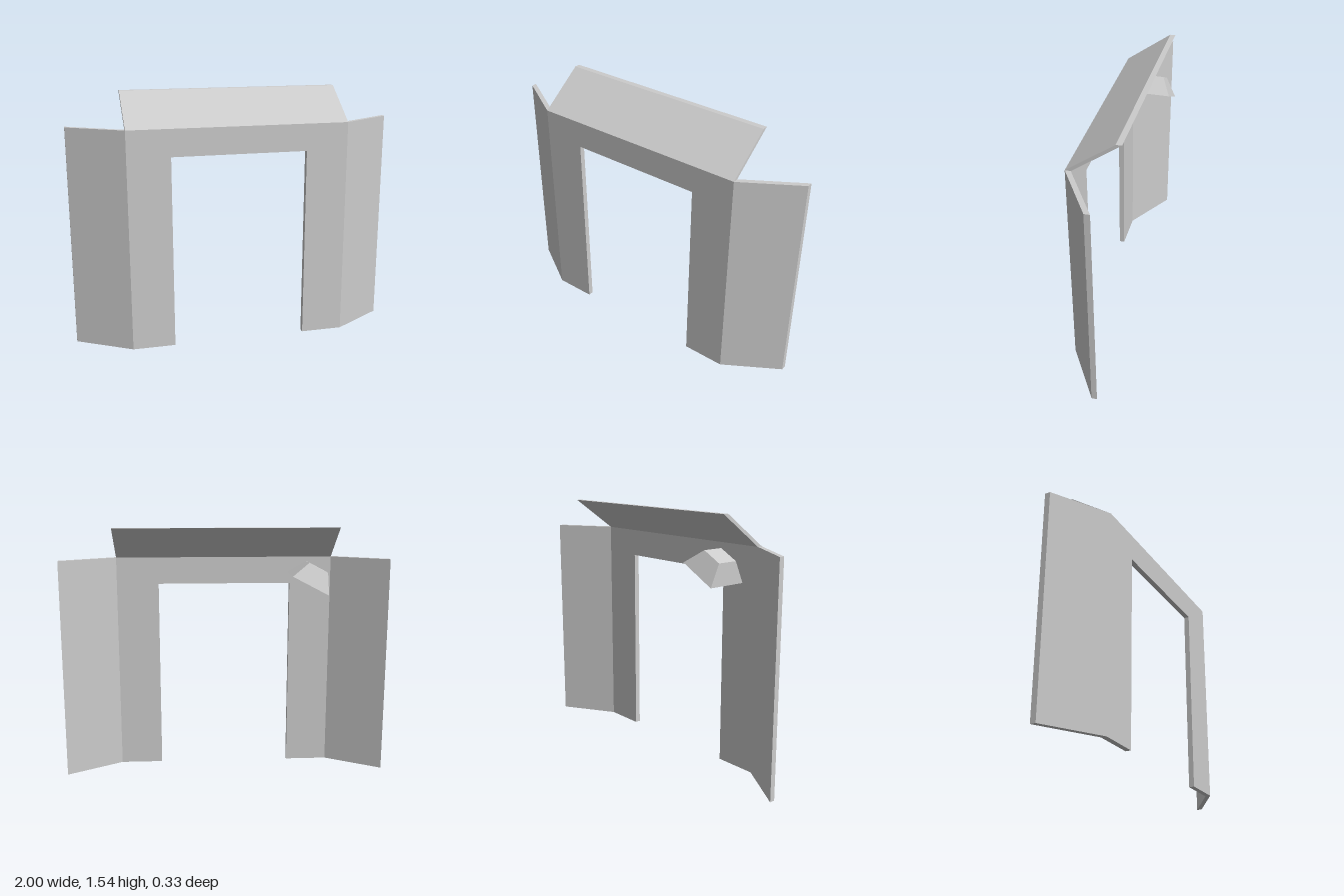
import * as THREE from 'three';

const HEIGHT = 1.345, HALF = 0.672, FRONT = 0.165, THICK = 0.033;

export function createModel() {
  const model = new THREE.Group();
  const material = new THREE.MeshStandardMaterial({ color: 0xcccccc, flatShading: true });
  const add = (name, geometry) => {
    const mesh = new THREE.Mesh(geometry, material);
    mesh.name = name;
    model.add(mesh);
    return mesh;
  };
  const extrude = (points, depth) => new THREE.ExtrudeGeometry(
    new THREE.Shape(points.map(([x, y]) => new THREE.Vector2(x, y))),
    { depth, bevelEnabled: false });

  // Centre panel with the doorway cut up from the ground
  const panel = extrude([
    [-HALF, 0], [-0.413, 0], [-0.413, 1.18], [0.413, 1.18],
    [0.413, 0], [HALF, 0], [HALF, HEIGHT], [-HALF, HEIGHT],
  ], THICK);
  panel.translate(0, 0, FRONT - THICK);
  add('doorwayPanel', panel);

  // Side wings angled backwards, extruded upwards from their footprint (x, -z)
  for (const side of [1, -1]) {
    const wing = extrude([
      [side * HALF, -FRONT], [side, 0.035],
      [side, 0.035 + THICK], [side * HALF, THICK - FRONT],
    ], HEIGHT);
    wing.rotateX(-Math.PI / 2);
    add(side > 0 ? 'leftWing' : 'rightWing', wing);
  }

  // Sloping top panel, extruded across from its profile (z, y)
  const top = extrude([
    [FRONT, HEIGHT], [-0.107, 1.54], [-0.14, 1.54], [FRONT - THICK, HEIGHT],
  ], 2 * HALF);
  top.rotateY(-Math.PI / 2);
  top.translate(HALF, 0, 0);
  add('slopingTop', top);

  // Tilted square lamp hood behind the panel
  const hood = new THREE.CylinderGeometry(0.065 * Math.SQRT2, 0.124 * Math.SQRT2, 0.115, 4);
  hood.rotateY(Math.PI / 4);
  const lamp = add('lampHood', hood);
  lamp.rotation.z = 0.483;
  lamp.position.set(-0.527, 1.249, -0.041);

  return model;
}
